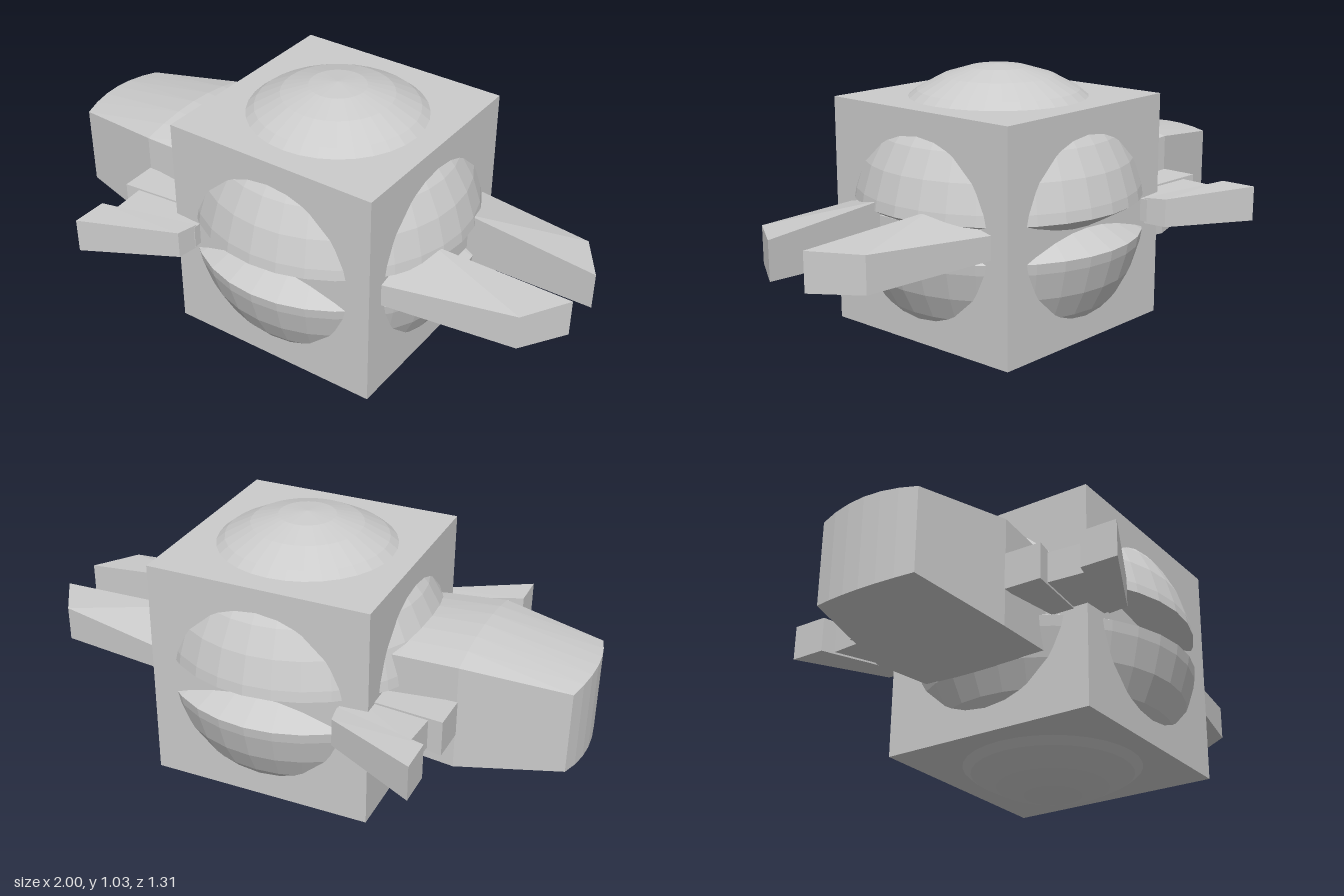
import * as THREE from 'three';
import { ConvexGeometry } from 'three/addons/geometries/ConvexGeometry.js';

const CX = 0.04, CY = 0.518, R = 0.513;

export function createModel() {
  const model = new THREE.Group();
  const material = new THREE.MeshStandardMaterial({ color: 0xcccccc, flatShading: true, side: THREE.DoubleSide });

  const add = (name, geometry, x = 0, y = CY, z = 0) => {
    const mesh = new THREE.Mesh(geometry, material);
    mesh.name = name;
    mesh.position.set(x, y, z);
    model.add(mesh);
    return mesh;
  };

  // Convex plate from plan corners [x, z, half height], symmetric about the mid-plane
  const plate = (corners, side) => new ConvexGeometry(corners.flatMap(([x, z, h]) => [
    new THREE.Vector3(x, h, z * side), new THREE.Vector3(x, -h, z * side),
  ]));

  // Cube hull
  add('cubeHull', new THREE.BoxGeometry(0.803, 0.805, 0.803), CX);

  // Sphere with a V-shaped groove round its equator
  const profile = [new THREE.Vector2(0.4, -0.002), new THREE.Vector2(0.509, -0.063)];
  for (let i = 1; i <= 8; i++) {
    const a = i * Math.PI / 16;
    profile.push(new THREE.Vector2(i === 8 ? 0 : R * Math.cos(a), -R * Math.sin(a)));
  }
  const lower = profile.slice().reverse();
  const upper = profile.map(p => new THREE.Vector2(p.x, -p.y));
  add('groovedSphere', new THREE.LatheGeometry([...lower, ...upper], 32), CX);

  // Engine block: arched sections [x, half width, side half height, crest half height]
  const sections = [
    [-0.3, 0.235, 0.17, 0.2], [-0.4, 0.242, 0.178, 0.211],
    [-0.61, 0.255, 0.19, 0.223], [-0.97, 0.19, 0.147, 0.16],
  ];
  const points = [];
  sections.forEach(([x, w, side, crest], s) => {
    for (let i = 0; i <= 6; i++) {
      const t = i / 3 - 1, arch = 1 - t * t;
      const h = side + (crest - side) * arch;
      const px = s === 3 ? x - 0.03 * arch : x;
      points.push(new THREE.Vector3(px, h, t * w), new THREE.Vector3(px, -h, t * w));
    }
  });
  add('engineBlock', new ConvexGeometry(points));

  // Bar joining the prongs inside the groove
  add('prongBar', new THREE.BoxGeometry(0.1, 0.085, 0.3), 0.46);

  for (const side of [1, -1]) {
    // Front prong
    add('prong', plate([
      [0.42, 0.335, 0.04], [0.895, 0.245, 0.063], [0.998, 0.083, 0.067], [0.5, 0.11, 0.093],
    ], side));
    // Forked side thruster: outer fin, inner fin and the thinner web between them
    add('outerFin', plate([
      [-0.26, 0.42, 0.046], [-0.275, 0.498, 0.05], [-0.598, 0.655, 0.063], [-0.598, 0.525, 0.063],
    ], side));
    add('innerFin', plate([
      [-0.28, 0.27, 0.046], [-0.27, 0.335, 0.046], [-0.61, 0.387, 0.063], [-0.613, 0.25, 0.063],
    ], side));
    add('finWeb', plate([
      [-0.26, 0.31, 0.04], [-0.26, 0.43, 0.04], [-0.548, 0.515, 0.053], [-0.56, 0.36, 0.053],
    ], side));
  }
  return model;
}
